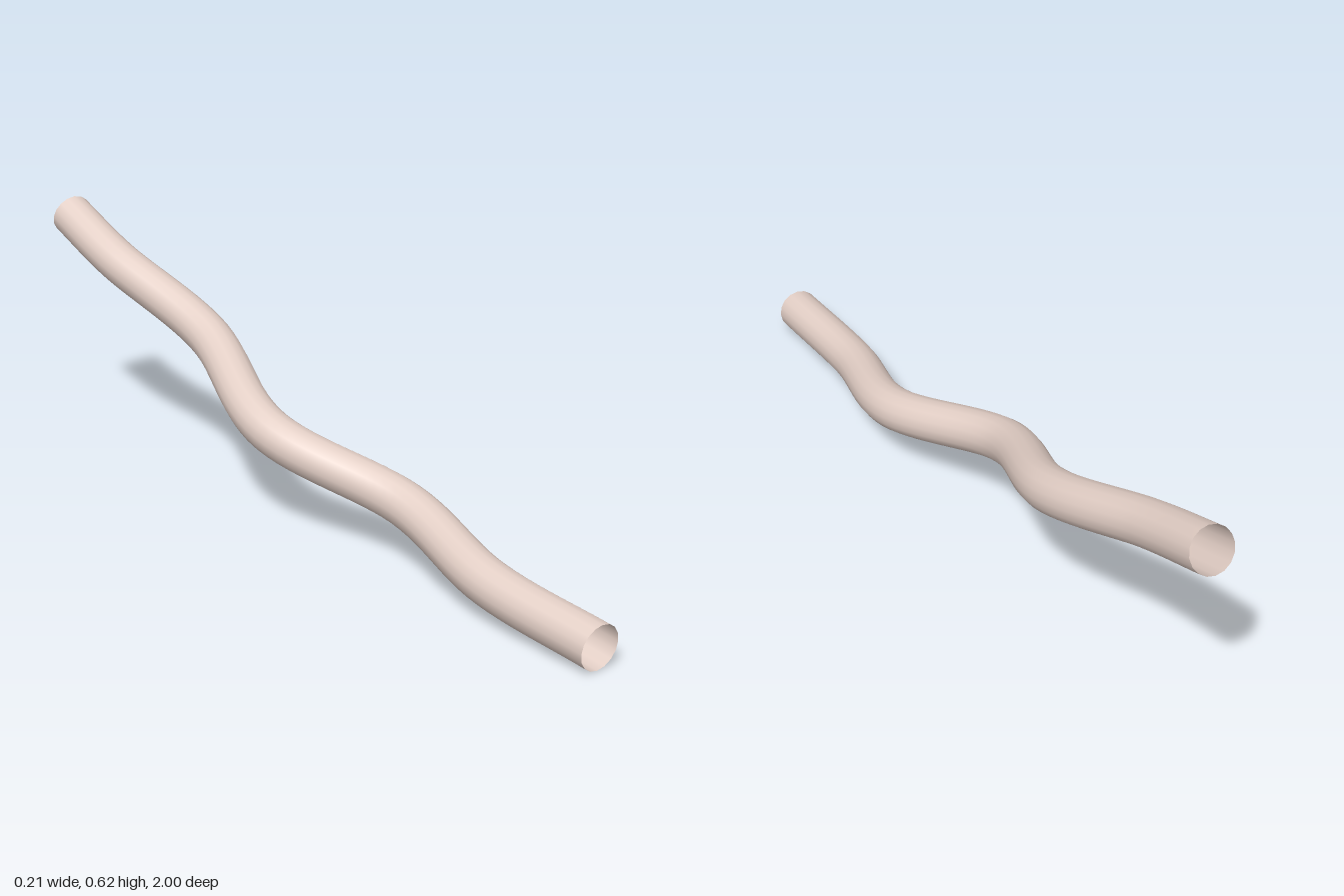
import * as THREE from 'three';

export function createModel() {
  const group = new THREE.Group();
  group.name = 'windingPipe';

  // Centre line: climbs towards the back while swaying left and right
  const path = new THREE.CatmullRomCurve3([
    [0.003, 0.055, 1.0],
    [0.002, 0.084, 0.66],
    [0.052, 0.145, 0.33],
    [-0.052, 0.242, -0.05],
    [0.039, 0.367, -0.42],
    [0.003, 0.49, -0.77],
    [0.004, 0.567, -0.98],
  ].map((p) => new THREE.Vector3(...p)));

  // Open-ended hollow tube
  const tube = new THREE.Mesh(
    new THREE.TubeGeometry(path, 64, 0.054, 16, false),
    new THREE.MeshStandardMaterial({ color: 0xe3cfc6, side: THREE.DoubleSide }),
  );
  tube.name = 'tube';
  group.add(tube);
  return group;
}
